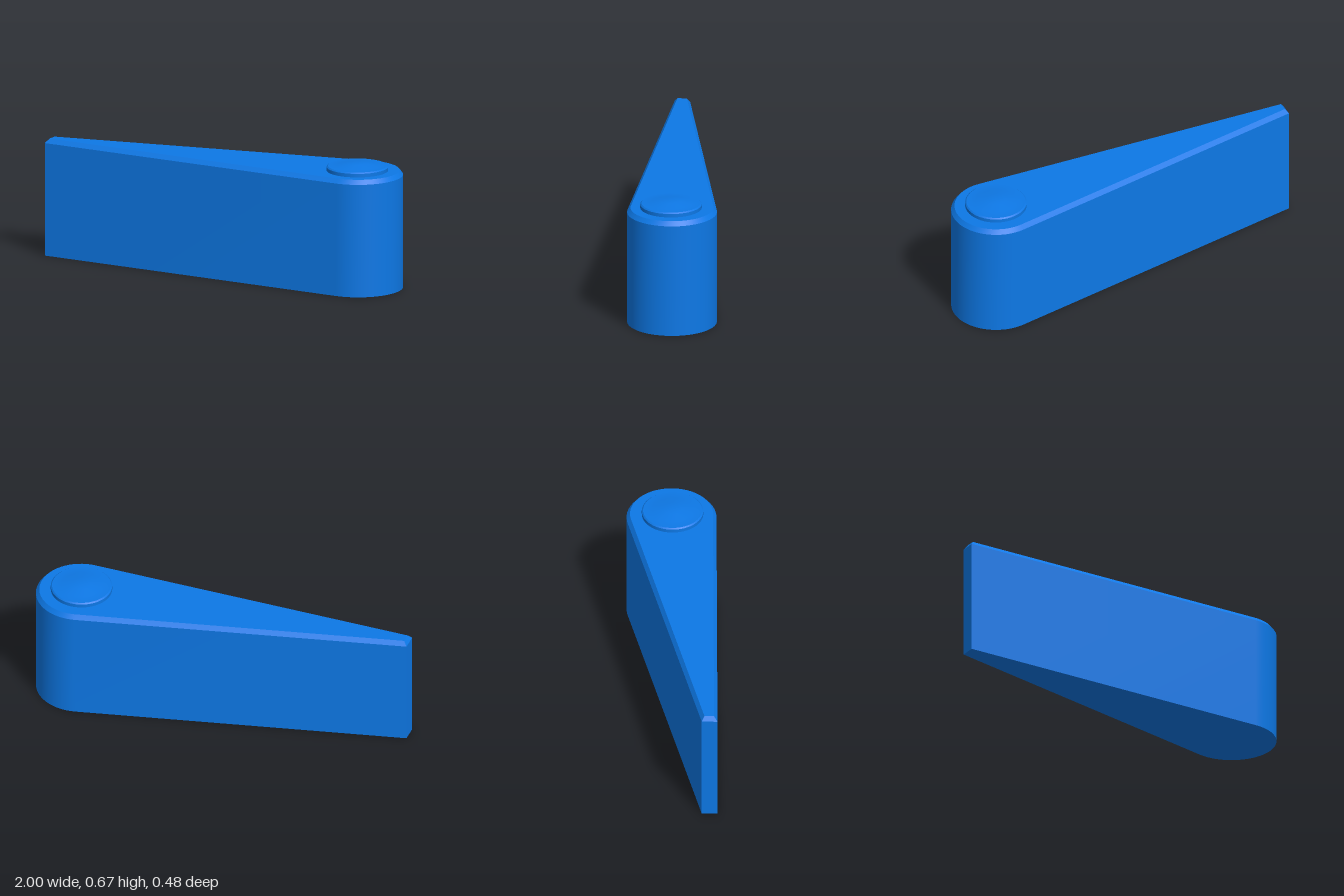
import * as THREE from 'three';
import { toCreasedNormals } from 'three/addons/utils/BufferGeometryUtils.js';

const material = new THREE.MeshStandardMaterial({ color: 0x0d78e6 });

// Teardrop plan as [x, z]: a narrow tip with straight flanks tangent to a round end
function teardrop(cx, cz, r, tipFront, tipBack, segments) {
  const contact = ([x, z], side) => {
    const dx = cx - x, dz = cz - z;
    return Math.atan2(dz, dx) + side * (Math.asin(r / Math.hypot(dx, dz)) + Math.PI / 2);
  };
  const start = contact(tipFront, 1), end = contact(tipBack, -1);
  const points = [tipFront];
  for (let i = 0; i <= segments; i++) {
    const a = start + (end - start) * i / segments;
    points.push([cx + r * Math.cos(a), cz + r * Math.sin(a)]);
  }
  points.push(tipBack);
  return points;
}

// Moves every edge of the plan inwards by d, with mitred corners
function inset(points, d) {
  const n = points.length;
  const inward = (p, q) => {
    const dx = q[0] - p[0], dz = q[1] - p[1], l = Math.hypot(dx, dz);
    return [dz / l, -dx / l];
  };
  return points.map((p, i) => {
    const a = inward(points[(i + n - 1) % n], p), b = inward(p, points[(i + 1) % n]);
    const k = d / (1 + a[0] * b[0] + a[1] * b[1]);
    return [p[0] + (a[0] + b[0]) * k, p[1] + (a[1] + b[1]) * k];
  });
}

// Closed solid from stacked convex rings, bottom to top
function stackedSolid(rings) {
  const n = rings[0].points.length, position = [], index = [];
  for (const { y, points } of rings) for (const [x, z] of points) position.push(x, y, z);
  for (let k = 0; k < rings.length - 1; k++) {
    for (let i = 0; i < n; i++) {
      const a = k * n + i, b = k * n + (i + 1) % n;
      index.push(a, b, b + n, a, b + n, a + n);
    }
  }
  const top = (rings.length - 1) * n;
  for (let i = 1; i < n - 1; i++) {
    index.push(0, i + 1, i);
    index.push(top, top + i, top + i + 1);
  }
  const geometry = new THREE.BufferGeometry();
  geometry.setAttribute('position', new THREE.Float32BufferAttribute(position, 3));
  geometry.setIndex(index);
  return toCreasedNormals(geometry, 0.5);
}

export function createModel() {
  const model = new THREE.Group();
  model.name = 'wedgeLever';

  // Tapered body with a chamfered top edge
  const plan = teardrop(0.765, 0.005, 0.235, [-1, -0.16], [-0.98, -0.24], 32);
  const body = new THREE.Mesh(stackedSolid([
    { y: 0, points: plan },
    { y: 0.605, points: plan },
    { y: 0.628, points: inset(plan, 0.018) },
  ]), material);
  body.name = 'body';
  model.add(body);

  // Round button: each band is its own lathe, so the edges between them stay sharp
  const button = new THREE.Group();
  button.name = 'pivotButton';
  button.position.set(0.762, 0.628, 0.01);
  const bands = {
    buttonSide: [[0.161, -0.01], [0.161, 0.019]],
    buttonChamfer: [[0.161, 0.019], [0.154, 0.025]],
    buttonDome: [[0.154, 0.025], [0.105, 0.026], [0.05, 0.038], [0, 0.038]],
  };
  for (const [name, profile] of Object.entries(bands)) {
    const points = profile.map(([r, y]) => new THREE.Vector2(r, y));
    const band = new THREE.Mesh(new THREE.LatheGeometry(points, 48), material);
    band.name = name;
    button.add(band);
  }
  model.add(button);

  return model;
}
